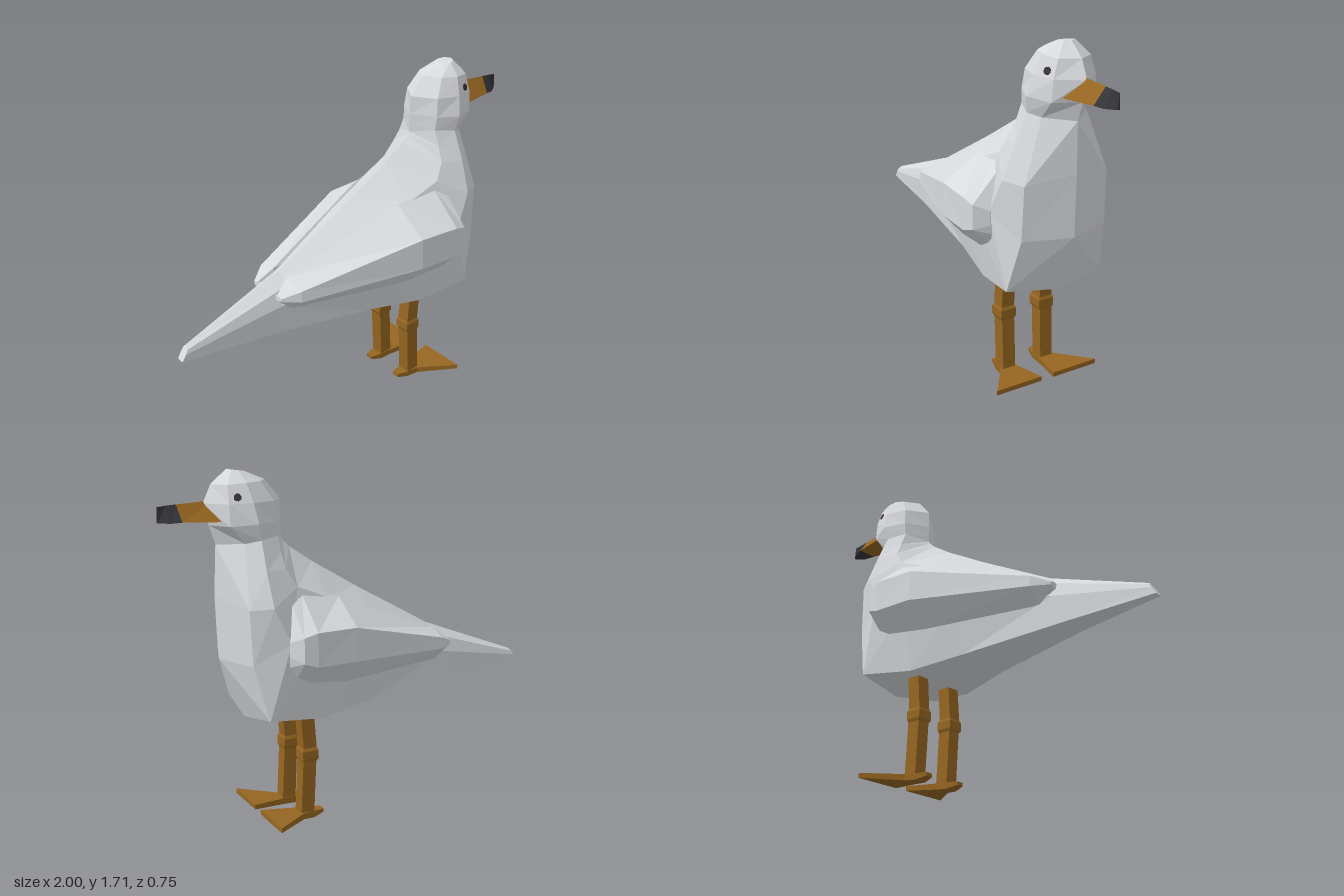
import * as THREE from 'three';

const paint = (name, color) => {
  const m = new THREE.MeshStandardMaterial({ color, flatShading: true });
  m.name = name;
  return m;
};

// Skins a row of equal-sized rings of [x, y, z] points, with closed ends and faces pointing outward
function loft(rings) {
  const n = rings[0].length;
  const tris = [];
  for (let r = 0; r < rings.length - 1; r++) {
    for (let i = 0; i < n; i++) {
      const j = (i + 1) % n;
      const a = rings[r][i], b = rings[r][j], c = rings[r + 1][j], d = rings[r + 1][i];
      if (i < n / 2) tris.push([a, b, c], [a, c, d]);
      else tris.push([a, b, d], [b, c, d]);
    }
  }
  const cap = (ring, flip) => {
    const mid = [0, 1, 2].map(k => ring.reduce((s, p) => s + p[k], 0) / n);
    ring.forEach((p, i) => {
      const q = ring[(i + 1) % n];
      tris.push(flip ? [mid, q, p] : [mid, p, q]);
    });
  };
  cap(rings[0], true);
  cap(rings[rings.length - 1], false);

  const v = t => t.map(p => new THREE.Vector3(...p));
  const volume = tris.reduce((s, t) => {
    const [a, b, c] = v(t);
    return s + a.dot(b.cross(c));
  }, 0);
  if (volume < 0) tris.forEach(t => t.reverse());
  const geo = new THREE.BufferGeometry();
  geo.setAttribute('position', new THREE.Float32BufferAttribute(tris.flat(2), 3));
  geo.computeVertexNormals();
  return geo;
}

// Body rings from tail to crown: back x, y, front x, y, three half widths, front corner offset x, y
const BODY = [
  [-0.96, 0.69, -1.0, 0.62, 0.018, 0.022, 0.02, 0, 0.002],
  [-0.42, 0.89, -0.55, 0.60, 0.065, 0.085, 0.07, 0, 0.002],
  [0.0, 1.12, 0.0, 0.56, 0.16, 0.205, 0.15, 0, 0.002],
  [0.24, 1.26, 0.3, 0.53, 0.185, 0.27, 0.215, 0, 0.002],
  [0.36, 1.34, 0.61, 0.53, 0.2, 0.295, 0.265, -0.025, 0.04],
  [0.39, 1.37, 0.73, 0.83, 0.18, 0.275, 0.23, -0.08, 0],
  [0.4, 1.385, 0.735, 1.13, 0.145, 0.215, 0.225, -0.075, -0.04],
  [0.4, 1.42, 0.73, 1.37, 0.115, 0.155, 0.12, -0.1, 0.01],
  [0.4, 1.48, 0.76, 1.46, 0.12, 0.168, 0.12, -0.06, 0],
  [0.405, 1.57, 0.785, 1.56, 0.11, 0.145, 0.112, -0.085, 0],
  [0.48, 1.66, 0.745, 1.645, 0.08, 0.108, 0.085, -0.05, 0],
  [0.58, 1.7, 0.67, 1.71, 0.03, 0.045, 0.03, -0.015, 0],
];

function bodyRing([bx, by, fx, fy, w1, w2, w3, dx, dy]) {
  const at = (t, z) => [bx + (fx - bx) * t, by + (fy - by) * t, z];
  const half = [at(0.2, w1), at(0.5, w2), [fx + dx, fy + dy, w3]];
  const other = half.map(([x, y, z]) => [x, y, -z]).reverse();
  return [at(0, 0), ...half, at(1, 0), ...other];
}

// Wing sections: x, then y and z of the top, upper outer, lower outer and bottom edges
const WING = [
  [-0.5, 0.815, 0.08, 0.805, 0.11, 0.79, 0.11, 0.78, 0.08],
  [-0.42, 0.875, 0.055, 0.84, 0.165, 0.785, 0.17, 0.715, 0.09],
  [0.18, 1.11, 0.165, 0.99, 0.355, 0.83, 0.36, 0.71, 0.25],
  [0.39, 1.14, 0.205, 0.99, 0.375, 0.83, 0.375, 0.735, 0.28],
  [0.455, 1.1, 0.24, 0.97, 0.365, 0.85, 0.365, 0.77, 0.285],
  [0.495, 1.0, 0.26, 0.94, 0.295, 0.87, 0.295, 0.82, 0.275],
];
const wingRing = s => [
  [s[0], s[1], s[2]], [s[0], s[3], s[4]], [s[0], s[5], s[6]], [s[0], s[7], s[8]],
  [s[0], (s[1] + s[7]) / 2, 0.04],
];

// Square leg rings: y, centre x, half width
const LEG = [
  [0.58, 0.345, 0.035], [0.365, 0.328, 0.035], [0.35, 0.328, 0.042],
  [0.31, 0.328, 0.042], [0.295, 0.331, 0.035], [0.02, 0.345, 0.035],
];
const legRing = ([y, cx, h]) =>
  [[1, 1], [-1, 1], [-1, -1], [1, -1]].map(([i, k]) => [cx + i * h, y, 0.111 + k * h]);

// Foot sections: x, bottom y, top y, inner z, outer z
const FOOT = [
  [0.25, 0.012, 0.03, 0.09, 0.13],
  [0.31, 0.0, 0.032, 0.075, 0.145],
  [0.37, 0.005, 0.036, 0.07, 0.155],
  [0.55, 0.022, 0.046, 0.035, 0.29],
];
const footRing = ([x, y0, y1, z0, z1]) => [[x, y0, z0], [x, y0, z1], [x, y1, z1], [x, y1, z0]];

// Triangular beak section: top x, top y, bottom x, bottom y, half width
const beakRing = ([tx, ty, bx, by, w]) => [[tx, ty, 0], [bx, by, w], [bx, by, -w]];

export function createModel() {
  const plumage = paint('pale grey plumage', 0xd8dade);
  const ochre = paint('ochre', 0x966621);
  const dark = paint('charcoal', 0x353539);

  const model = new THREE.Group();
  model.name = 'bird';
  const add = (name, geo, mat) => {
    const mesh = new THREE.Mesh(geo, mat);
    mesh.name = name;
    model.add(mesh);
    return mesh;
  };

  // Tail, body, neck and head in one skin
  const body = add('body', loft(BODY.map(bodyRing)), plumage);

  // Beak and its dark tip
  const beakEnd = [0.91, 1.561, 0.9, 1.484, 0.052];
  add('beak', loft([[0.74, 1.572, 0.72, 1.48, 0.082], beakEnd].map(beakRing)), ochre);
  add('beakTip', loft([
    beakEnd, [0.955, 1.558, 0.95, 1.48, 0.038], [1.0, 1.553, 1.0, 1.482, 0.005],
  ].map(beakRing)), dark);

  // Paired parts
  for (const [side, s] of [['left', 1], ['right', -1]]) {
    const mirror = rings => rings.map(ring => ring.map(([x, y, z]) => [x, y, z * s]));
    add(side + 'Wing', loft(mirror(WING.map(wingRing))), plumage);
    add(side + 'Leg', loft(mirror(LEG.map(legRing))), ochre);
    add(side + 'Foot', loft(mirror(FOOT.map(footRing))), ochre);

    // Eye disc lies flat on the head
    const ray = new THREE.Raycaster(new THREE.Vector3(0.66, 1.59, s), new THREE.Vector3(0, 0, -s));
    const hit = ray.intersectObject(body)[0];
    const eye = add(side + 'Eye', new THREE.CylinderGeometry(0.018, 0.018, 0.009, 8), dark);
    eye.position.copy(hit.point);
    eye.quaternion.setFromUnitVectors(new THREE.Vector3(0, 1, 0), hit.face.normal);
  }
  return model;
}
